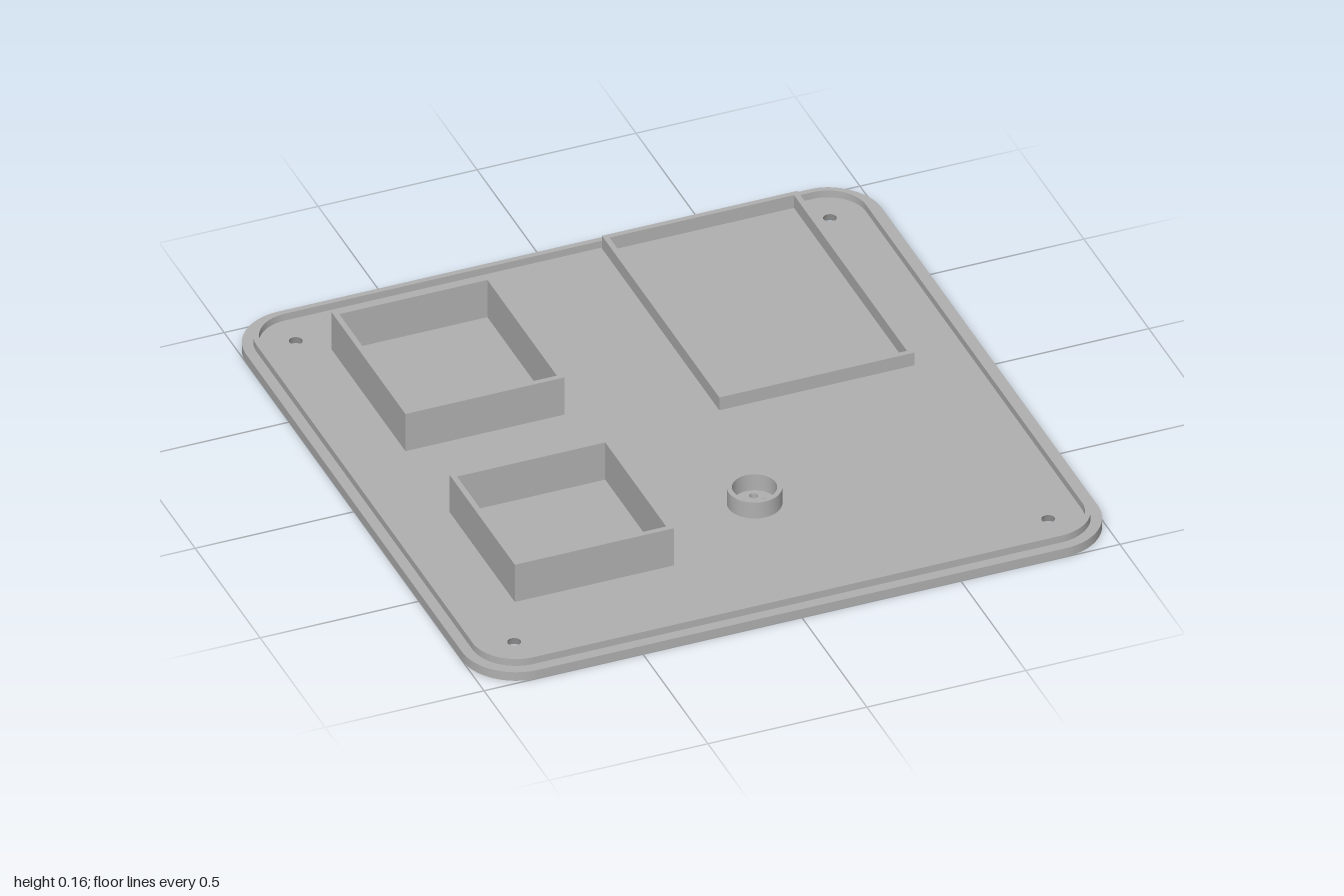
import * as THREE from 'three';
import { toCreasedNormals } from 'three/addons/utils/BufferGeometryUtils.js';

const PLATE = 0.03; // plate thickness

// Shapes are drawn in plan: shape x = model x, shape y = -z.
function roundedRect(w, d, r, PathType = THREE.Shape) {
  const p = new PathType(), x = w / 2, y = d / 2;
  p.absarc(x - r, y - r, r, 0, Math.PI / 2);
  p.absarc(-x + r, y - r, r, Math.PI / 2, Math.PI);
  p.absarc(-x + r, -y + r, r, Math.PI, Math.PI * 1.5);
  p.absarc(x - r, -y + r, r, Math.PI * 1.5, Math.PI * 2);
  p.closePath();
  return p;
}

function rect(x0, x1, z0, z1, PathType = THREE.Shape) {
  return new PathType([[x0, -z1], [x1, -z1], [x1, -z0], [x0, -z0]].map(([x, y]) => new THREE.Vector2(x, y)));
}

function circle(x, z, r, PathType = THREE.Path) {
  return new PathType().absarc(x, -z, r, 0, Math.PI * 2);
}

export function createModel() {
  const group = new THREE.Group();
  const grey = new THREE.MeshStandardMaterial({ color: 0xb0b0b0, side: THREE.DoubleSide });
  grey.name = 'plain grey';

  const add = (name, geometry) => {
    const mesh = new THREE.Mesh(geometry, grey);
    mesh.name = name;
    group.add(mesh);
  };

  // Flat horizontal face at height y
  const face = (name, shape, holes, y, up) => {
    shape.holes = holes;
    const g = new THREE.ShapeGeometry(shape, 20);
    g.rotateX(-Math.PI / 2);
    if (!up) {
      const i = g.index.array;
      for (let k = 0; k < i.length; k += 3) [i[k], i[k + 1]] = [i[k + 1], i[k]];
      g.computeVertexNormals();
    }
    add(name, g.translate(0, y, 0));
  };

  // Upright solid from a plan shape
  const raise = (name, shape, y0, y1) => {
    const g = new THREE.ExtrudeGeometry(shape, { depth: y1 - y0, bevelEnabled: false, curveSegments: 20 });
    g.rotateX(-Math.PI / 2).translate(0, y0, 0);
    add(name, toCreasedNormals(g, 0.6));
  };

  // Inward-facing wall of a round hole, straight or tapered
  const bore = (name, x, z, rBottom, rTop, y0, y1) => {
    const g = new THREE.CylinderGeometry(rTop, rBottom, y1 - y0, 40, 1, true);
    g.scale(-1, 1, 1);
    const n = g.attributes.normal;
    for (let k = 0; k < n.count; k++) n.setXYZ(k, -n.getX(k), -n.getY(k), -n.getZ(k));
    add(name, g.translate(x, (y0 + y1) / 2, z));
  };

  const corners = [[1, 1], [1, -1], [-1, 1], [-1, -1]];
  const screws = corners.map(([x, z]) => [x * 0.84, z * 0.84]);
  const feet = corners.map(([x, z]) => [x * 0.737, z * 0.737]);

  // Sound holes: one in the middle and five around it
  const cx = 0.08, cz = 0.44;
  const vents = [[cx, cz]];
  for (let k = 0; k < 5; k++) {
    const a = (k * Math.PI * 2) / 5;
    vents.push([cx + Math.cos(a) * 0.037, cz + Math.sin(a) * 0.037]);
  }

  // Base plate: two faces and the outer edge
  const ventHoles = () => vents.map(([x, z]) => circle(x, z, 0.013));
  face('plateTop', roundedRect(2, 2, 0.17),
    [...screws.map(([x, z]) => circle(x, z, 0.02)), ...ventHoles()], PLATE, true);
  face('plateUnderside', roundedRect(2, 2, 0.17),
    [...screws.map(([x, z]) => circle(x, z, 0.033)), ...feet.map(([x, z]) => circle(x, z, 0.066)), ...ventHoles()], 0, false);

  const outline = roundedRect(2, 2, 0.17).getPoints(20);
  const pos = [];
  outline.forEach((a, k) => {
    const b = outline[(k + 1) % outline.length];
    if (a.distanceTo(b) < 1e-6) return;
    pos.push(a.x, 0, -a.y, b.x, 0, -b.y, b.x, PLATE, -b.y);
    pos.push(a.x, 0, -a.y, b.x, PLATE, -b.y, a.x, PLATE, -a.y);
  });
  const edge = new THREE.BufferGeometry();
  edge.setAttribute('position', new THREE.Float32BufferAttribute(pos, 3));
  add('plateEdge', toCreasedNormals(edge, 0.6));

  // Countersunk screw holes, vents and shallow foot recesses
  screws.forEach(([x, z]) => bore('screwHole', x, z, 0.033, 0.02, 0, PLATE));
  vents.forEach(([x, z]) => bore('soundHole', x, z, 0.013, 0.013, 0, PLATE));
  feet.forEach(([x, z]) => {
    bore('footRecessWall', x, z, 0.066, 0.066, 0, 0.005);
    face('footRecessFloor', circle(x, z, 0.066, THREE.Shape), [], 0.005, false);
  });

  // Raised lip set in from the edge
  const lip = roundedRect(1.934, 1.934, 0.137);
  lip.holes.push(roundedRect(1.9, 1.9, 0.12, THREE.Path));
  raise('rimLip', lip, PLATE, 0.054);

  // Open rectangular frames
  const frame = (name, x0, x1, z0, z1, top) => {
    const t = 0.017, s = rect(x0, x1, z0, z1);
    s.holes.push(rect(x0 + t, x1 - t, z0 + t, z1 - t, THREE.Path));
    raise(name, s, PLATE, top);
  };
  frame('backCompartment', -0.76, -0.26, -0.76, -0.192, 0.161);
  frame('frontCompartment', -0.76, -0.26, 0.147, 0.65, 0.161);
  frame('lowTray', 0.166, 0.78, -0.945, -0.042, 0.075);

  // Round collar about the sound holes
  const collar = circle(cx, cz, 0.081, THREE.Shape);
  collar.holes.push(circle(cx, cz, 0.066));
  raise('soundCollar', collar, PLATE, 0.086);

  return group;
}
